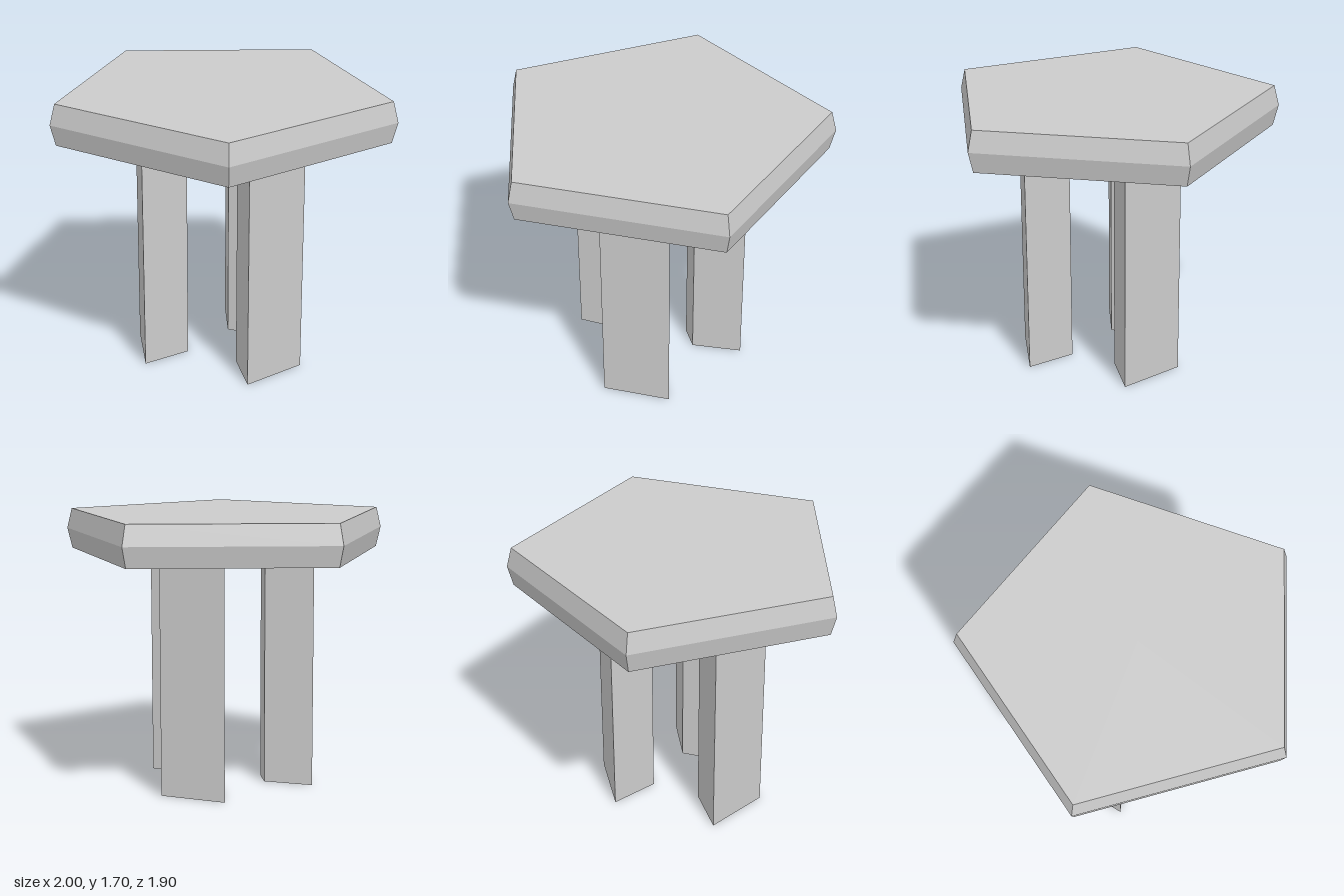
import * as THREE from 'three';

const material = new THREE.MeshStandardMaterial({ color: 0xcccccc, flatShading: true });
const topBottom = 1.45, topHeight = 0.25;

// Trapezoid prism: wide face outward at z = 0, narrow face inward
function legGeometry(outerHalf, innerHalf, depth, height) {
  const shape = new THREE.Shape([
    new THREE.Vector2(-outerHalf, 0),
    new THREE.Vector2(outerHalf, 0),
    new THREE.Vector2(innerHalf, depth),
    new THREE.Vector2(-innerHalf, depth),
  ]);
  return new THREE.ExtrudeGeometry(shape, { depth: height, bevelEnabled: false }).rotateX(-Math.PI / 2);
}

// Five-sided slab whose edge swells to a ridge at mid height
function topGeometry() {
  const ridge = 1 / Math.sin(Math.PI * 0.4), face = ridge - 0.032;
  const profile = [[0, 0], [face, 0], [ridge, topHeight / 2], [face, topHeight], [0, topHeight]];
  return new THREE.LatheGeometry(profile.map(([r, y]) => new THREE.Vector2(r, y)), 5);
}

export function createModel() {
  const model = new THREE.Group();
  model.name = 'pentagonTable';

  const top = new THREE.Mesh(topGeometry(), material);
  top.name = 'tableTop';
  top.rotation.y = Math.PI; // one corner points to the back
  top.position.set(0, topBottom, 0.1);
  model.add(top);

  // Three legs facing outward, placed by the middle of the outer face
  const leg = legGeometry(0.208, 0.075, 0.28, topBottom);
  const places = [
    ['frontLeg', 0, 0.618, 0],
    ['leftLeg', 0.436, -0.115, 1],
    ['rightLeg', -0.436, -0.155, -1],
  ];
  for (const [name, x, z, turn] of places) {
    const mesh = new THREE.Mesh(leg, material);
    mesh.name = name;
    mesh.position.set(x, 0, z);
    mesh.rotation.y = (turn * Math.PI * 2) / 3;
    model.add(mesh);
  }
  return model;
}
